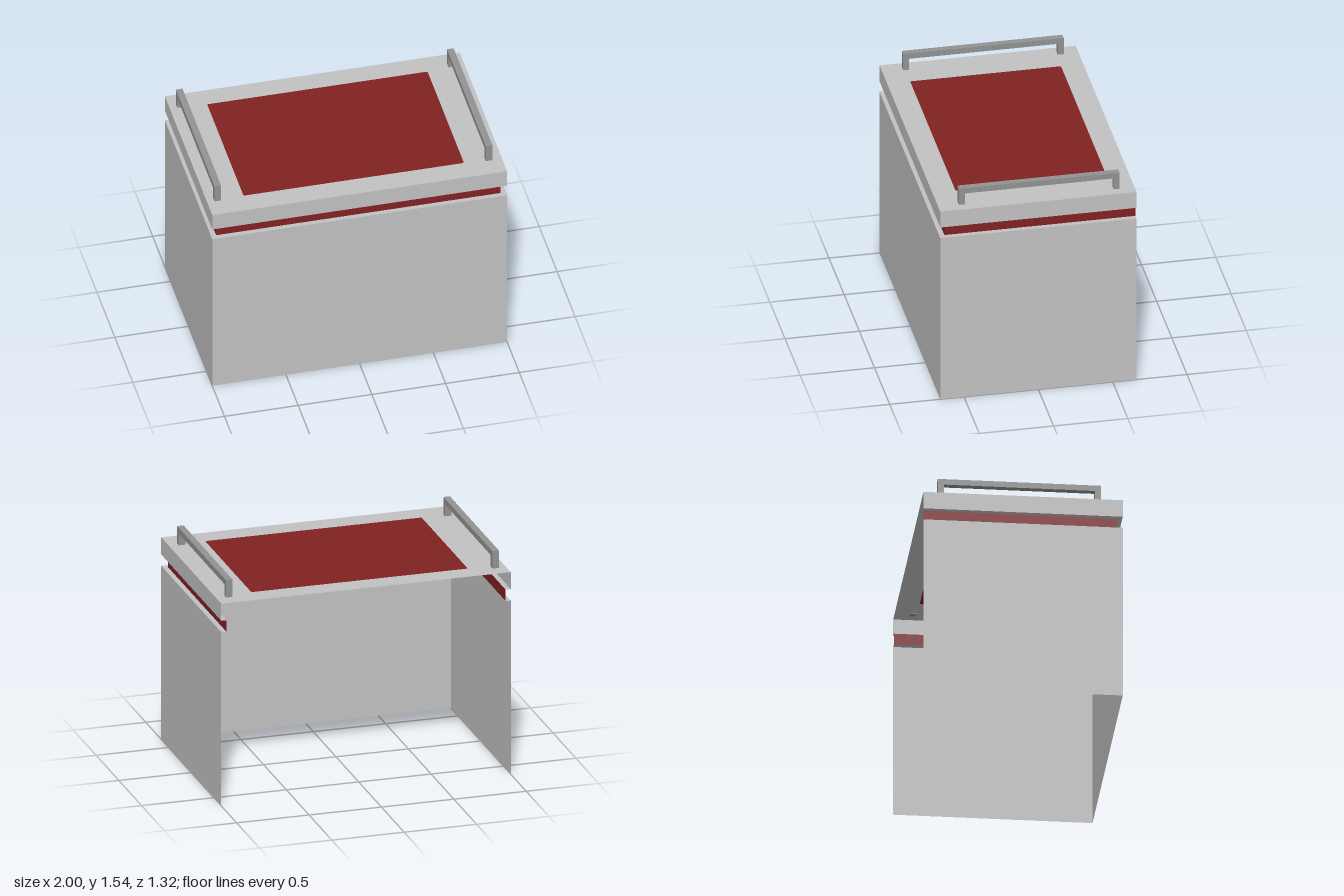
import * as THREE from 'three';

const W = 1, D = 0.66, INSET = 0.035;
const LEDGE = 1.22, LID = 1.3, TOP = 1.42;

// Three-sided strip (left, front, right) between two [inset, height] edges; the back stays open
function strip(lower, upper) {
  const path = ([i, y]) => [
    [-W + i, y, -D], [-W + i, y, D - i], [W - i, y, D - i], [W - i, y, -D],
  ];
  const a = path(lower), b = path(upper), pos = [];
  for (let k = 0; k < 3; k++) {
    pos.push(...a[k], ...a[k + 1], ...b[k + 1], ...a[k], ...b[k + 1], ...b[k]);
  }
  const g = new THREE.BufferGeometry();
  g.setAttribute('position', new THREE.Float32BufferAttribute(pos, 3));
  g.computeVertexNormals();
  return g;
}

// Rectangle with slightly rounded corners
function roundedRect(C, x0, y0, x1, y1, r) {
  const s = new C();
  s.absarc(x1 - r, y1 - r, r, 0, Math.PI / 2);
  s.absarc(x0 + r, y1 - r, r, Math.PI / 2, Math.PI);
  s.absarc(x0 + r, y0 + r, r, Math.PI, Math.PI * 1.5);
  s.absarc(x1 - r, y0 + r, r, Math.PI * 1.5, Math.PI * 2);
  s.closePath();
  return s;
}

export function createModel() {
  const model = new THREE.Group();
  model.name = 'counter';
  const mat = (name, color) => {
    const m = new THREE.MeshStandardMaterial({ color, side: THREE.DoubleSide });
    m.name = name;
    return m;
  };
  const grey = mat('light grey', 0xc1c1c1);
  const steel = mat('rail grey', 0x929292);
  const red = mat('dark red', 0x802121);

  const add = (name, geometry, material, parent = model) => {
    const mesh = new THREE.Mesh(geometry, material);
    mesh.name = name;
    parent.add(mesh);
    return mesh;
  };

  // Walls, recessed band and lid edge
  add('walls', strip([0, 0], [0, LEDGE]), grey);
  add('wallLedge', strip([0, LEDGE], [INSET, LEDGE]), grey);
  add('recessedBand', strip([INSET, LEDGE], [INSET, LID]), red);
  add('lidUnderside', strip([INSET, LID], [0, LID]), grey);
  add('lidEdge', strip([0, LID], [0, TOP]), grey);

  // Top sheet with an inlaid panel
  const rect = [-0.75, -0.505, 0.745, 0.51, 0.012];
  const sheet = new THREE.Shape([
    new THREE.Vector2(-W, -D), new THREE.Vector2(W, -D),
    new THREE.Vector2(W, D), new THREE.Vector2(-W, D),
  ]);
  sheet.holes.push(roundedRect(THREE.Path, ...rect));
  const lay = (shape) => new THREE.ShapeGeometry(shape, 6).rotateX(-Math.PI / 2).translate(0, TOP, 0);
  add('topSheet', lay(sheet), grey);
  add('topPanel', lay(roundedRect(THREE.Shape, ...rect)), red);

  // Side rails: one U-shaped outline extruded across its width
  const z0 = -0.56, z1 = 0.52, t = 0.04, foot = TOP - 0.004, high = 1.542;
  const outline = new THREE.Shape([
    [z0, foot], [z0 + t, foot], [z0 + t, high - t], [z1 - t, high - t],
    [z1 - t, foot], [z1, foot], [z1, high], [z0, high],
  ].map(([z, y]) => new THREE.Vector2(-z, y)));
  for (const [name, x] of [['rightRail', -0.95], ['leftRail', 0.89]]) {
    const g = new THREE.ExtrudeGeometry(outline, { depth: 0.045, bevelEnabled: false });
    g.rotateY(Math.PI / 2).translate(x, 0, 0);
    add(name, g, steel);
  }
  return model;
}
